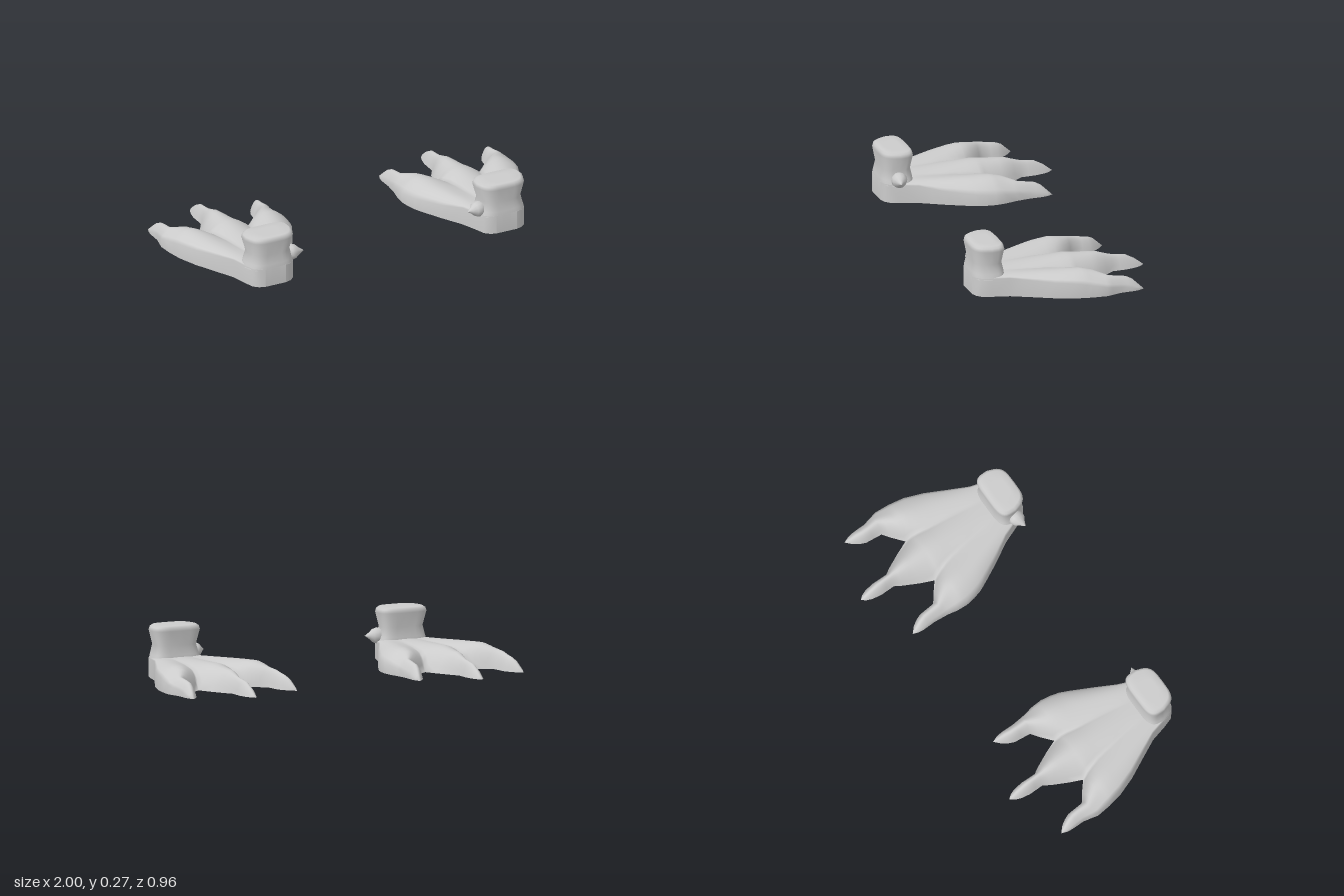
import * as THREE from 'three';
import { mergeGeometries, mergeVertices } from 'three/addons/utils/BufferGeometryUtils.js';

const material = new THREE.MeshStandardMaterial({ color: 0xcccccc, side: THREE.DoubleSide });

// Linear lookup in a table of [z, value], z falling
function at(table, z) {
  for (let i = 1; i < table.length; i++) {
    const [z0, v0] = table[i - 1], [z1, v1] = table[i];
    if (z >= z1) return THREE.MathUtils.lerp(v0, v1, Math.max(0, (z0 - z) / (z0 - z1)));
  }
  return table[table.length - 1][1];
}

// Surface through rows of equally many points
function skin(rows) {
  const n = rows[0].length, index = [];
  for (let i = 0; i < rows.length - 1; i++) {
    for (let j = 0; j < n - 1; j++) {
      const a = i * n + j, c = a + n;
      index.push(a, a + 1, c, a + 1, c + 1, c);
    }
  }
  const geometry = new THREE.BufferGeometry();
  geometry.setAttribute('position', new THREE.Float32BufferAttribute(rows.flat(2), 3));
  geometry.setIndex(index);
  return geometry;
}

function smooth(geometries) {
  const geometry = mergeVertices(mergeGeometries(geometries), 1e-4);
  geometry.computeVertexNormals();
  return geometry;
}

// Foot outline and heights, with x measured from the middle toe
const bodyZ = [0.482, 0.472, 0.45, 0.4, 0.31, 0.25, 0.2, 0.15, 0.1, 0.05, 0, -0.05, -0.08, -0.11];
const sideZ = [...bodyZ, -0.16, -0.19, -0.24, -0.28, -0.31, -0.34, -0.37];
const middleZ = [...bodyZ, -0.18, -0.22, -0.26, -0.3, -0.34, -0.38, -0.43, -0.46, -0.482];
const heelX = [[0.482, 0.06], [0.472, 0.09], [0.45, 0.115], [0.4, 0.133]];
const valleyX = [[0.482, 0.025], [0.31, 0.055], [0, 0.1], [-0.11, 0.13]];
const valleyY = [[0.482, 0.1], [0.31, 0.108], [0.1, 0.1], [0, 0.086], [-0.05, 0.07], [-0.08, 0.05], [-0.11, 0]];
const outer = {
  x: [...heelX, [0.31, 0.158], [0.2, 0.215], [0.1, 0.268], [0, 0.307], [-0.08, 0.325], [-0.16, 0.335],
    [-0.19, 0.328], [-0.24, 0.318], [-0.33, 0.32], [-0.37, 0.305]],
  y: [[0.482, 0.1], [0.31, 0.1], [0.1, 0.085], [0, 0.08], [-0.11, 0.06], [-0.19, 0.04], [-0.28, 0.025], [-0.37, 0]],
};
const inner = {
  x: [...heelX, [0.31, 0.17], [0.2, 0.235], [0.1, 0.288], [0.03, 0.322], [-0.05, 0.335], [-0.11, 0.332],
    [-0.16, 0.322], [-0.24, 0.316], [-0.33, 0.32], [-0.37, 0.305]],
  y: [[0.482, 0.1], [0.31, 0.095], [0.2, 0.075], [0, 0.058], [-0.11, 0.048], [-0.19, 0.035], [-0.28, 0.02], [-0.37, 0]],
};
const sideInnerX = [...valleyX, [-0.16, 0.19], [-0.19, 0.232], [-0.28, 0.24], [-0.33, 0.262], [-0.37, 0.305]];
const sideRidge = [[0.482, 0.1], [0.31, 0.11], [-0.05, 0.125], [-0.11, 0.115], [-0.19, 0.09], [-0.28, 0.073], [-0.31, 0.058], [-0.37, 0]];
const middleX = [...valleyX, [-0.18, 0.1], [-0.26, 0.06], [-0.3, 0.036], [-0.38, 0.038], [-0.43, 0.03], [-0.46, 0.018], [-0.482, 0]];
const middleRidge = [[0.482, 0.1], [0.31, 0.11], [-0.05, 0.125], [-0.22, 0.11], [-0.29, 0.085], [-0.38, 0.07], [-0.43, 0.042], [-0.482, 0]];

// One toe with its share of the web, running from the heel to the tip
function toe(zs, xa, xb, ya, yb, ridge) {
  const rows = zs.map((z) => {
    const row = [];
    for (let k = 0; k <= 12; k++) {
      const u = k / 12;
      const base = THREE.MathUtils.lerp(ya(z), yb(z), u);
      const bump = Math.pow(Math.abs(Math.sin(Math.PI * u)), 0.85);
      row.push([THREE.MathUtils.lerp(xa(z), xb(z), u), base + (ridge(z) - base) * bump, z]);
    }
    return row;
  });
  // wall at the back of the heel
  rows.unshift(rows[0].map(([x, , z]) => [x, 0, z]));
  return rows;
}

const mirrorRows = (rows) => rows.map((row) => row.map(([x, y, z]) => [-x, y, z]).reverse());
const valleyHeight = (z) => at(valleyY, z);

// Side toe with a wall down to the ground along its outside
function sideToe(edge) {
  const rows = toe(sideZ, (z) => at(sideInnerX, z), (z) => at(edge.x, z),
    valleyHeight, (z) => at(edge.y, z), (z) => at(sideRidge, z));
  return rows.map((row) => [...row, [row[12][0], 0, row[12][2]]]);
}

function webbedFoot() {
  const middle = toe(middleZ, (z) => -at(middleX, z), (z) => at(middleX, z),
    valleyHeight, valleyHeight, (z) => at(middleRidge, z));
  return smooth([skin(sideToe(outer)), skin(mirrorRows(sideToe(inner))), skin(middle)]);
}

// Flat underside
function sole() {
  const side = (edge) => sideZ.map((z) => [[at(edge.x, z), 0, z], [at(sideInnerX, z), 0, z]]);
  const middle = middleZ.map((z) => [1, -1].map((s) => [s * at(middleX, z), 0, z]));
  return smooth([skin(side(outer)), skin(mirrorRows(side(inner))), skin(middle)]);
}

// Short ankle: rounded block with a waist, narrower behind
function ankle() {
  const levels = [[0.09, 0.135, 0.085], [0.12, 0.127, 0.083], [0.17, 0.115, 0.073], [0.245, 0.135, 0.085],
    [0.263, 0.129, 0.081], [0.272, 0.115, 0.072], [0.272, 0.06, 0.04], [0.272, 0, 0]];
  const power = (v) => Math.sign(v) * Math.pow(Math.abs(v), 0.5);
  return smooth([skin(levels.map(([y, w, d]) => {
    const ring = [];
    for (let k = 0; k <= 32; k++) {
      const a = (k % 32) / 32 * Math.PI * 2;
      const s = -power(Math.sin(a));
      ring.push([w * power(Math.cos(a)) * (1 - 0.2 * Math.max(0, s)), y, 0.397 + d * s]);
    }
    return ring;
  }))]);
}

// Small pointed hind claw
function hindClaw() {
  const profile = [[0.02, 0], [0.036, 0.025], [0.042, 0.05], [0.036, 0.07], [0.018, 0.09], [0, 0.115]];
  const geometry = new THREE.LatheGeometry(profile.map(([r, h]) => new THREE.Vector2(r, h)), 12);
  geometry.rotateZ(Math.PI / 2);
  geometry.rotateY(0.2);
  geometry.translate(-0.08, 0.125, 0.395);
  return geometry;
}

export function createModel() {
  const model = new THREE.Group();
  const parts = { webbedToes: webbedFoot(), sole: sole(), ankle: ankle(), hindClaw: hindClaw() };
  for (const [name, sign] of [['leftFoot', 1], ['rightFoot', -1]]) {
    const foot = new THREE.Group();
    foot.name = name;
    for (const [part, geometry] of Object.entries(parts)) {
      const mesh = new THREE.Mesh(geometry, material);
      mesh.name = part;
      foot.add(mesh);
    }
    foot.scale.x = sign;
    foot.position.x = sign * 0.665;
    model.add(foot);
  }
  return model;
}
